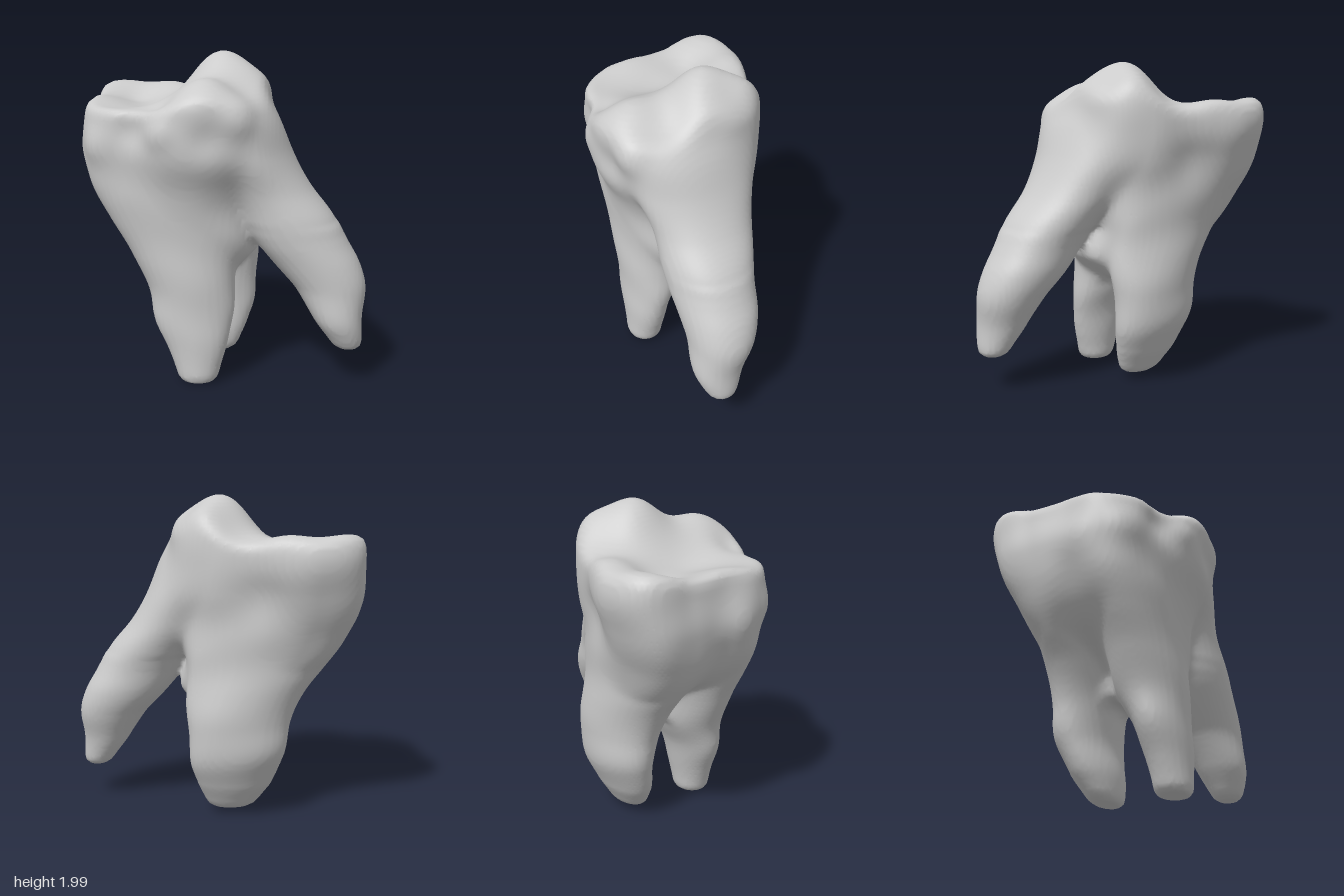
import * as THREE from 'three';

const { exp, sin, hypot, atan2, min, max, floor, abs, PI } = Math;

// Smooth spline through four values
const spline = (a, b, c, d, t) =>
  b + 0.5 * t * (c - a + t * (2 * a - 5 * b + 4 * c - d + t * (3 * (b - c) + d - a)));
const smoothMin = (a, b, k) => min(a, b) - (max(k - abs(a - b), 0) ** 2) / (4 * k);
const smoothMax = (a, b, k) => -smoothMin(-a, -b, k);

// Interpolate a stack of sections [y, ...values] at a height
function sectionAt(rows, y) {
  const n = rows.length - 1;
  const v = min(max(y, rows[0][0]), rows[n][0]);
  let i = 0;
  while (i < n - 1 && v > rows[i + 1][0]) i++;
  const t = (v - rows[i][0]) / (rows[i + 1][0] - rows[i][0]);
  const [a, b, c, d] = [rows[max(i - 1, 0)], rows[i], rows[i + 1], rows[min(i + 2, n)]];
  return [1, 2, 3, 4].map((k) => spline(a[k], b[k], c[k], d[k], t));
}

// Roots: y, centre x, centre z, radius x, radius z
const frontRoot = [
  [0.0, -0.145, 0.36, 0.12, 0.11], [0.2, -0.155, 0.345, 0.175, 0.125],
  [0.4, -0.18, 0.315, 0.24, 0.15], [0.6, -0.2, 0.27, 0.27, 0.195],
  [0.8, -0.23, 0.25, 0.335, 0.215], [1.0, -0.27, 0.24, 0.42, 0.23],
  [1.2, -0.3, 0.21, 0.48, 0.27], [1.4, -0.3, 0.2, 0.48, 0.3],
];
const backRoot = [
  [0.03, -0.085, -0.11, 0.145, 0.09], [0.2, -0.1, -0.16, 0.23, 0.14],
  [0.4, -0.115, -0.215, 0.295, 0.17], [0.6, -0.12, -0.215, 0.32, 0.19],
  [0.8, -0.17, -0.195, 0.37, 0.205], [1.0, -0.25, -0.19, 0.43, 0.21],
  [1.2, -0.3, -0.17, 0.47, 0.25], [1.4, -0.3, -0.16, 0.48, 0.28],
];
const sideRoot = [
  [0.22, 0.765, 0.31, 0.085, 0.09], [0.4, 0.705, 0.3, 0.145, 0.16],
  [0.6, 0.65, 0.255, 0.22, 0.205], [0.75, 0.565, 0.225, 0.27, 0.24],
  [0.9, 0.465, 0.215, 0.285, 0.26], [1.0, 0.4, 0.2, 0.285, 0.28],
  [1.2, 0.265, 0.15, 0.27, 0.32], [1.4, 0.15, 0.13, 0.27, 0.38],
  [1.6, 0.07, 0.12, 0.27, 0.41], [1.8, -0.01, 0.1, 0.26, 0.42],
];

function rootField(rows, x, y, z) {
  const [cx, cz, rx, rz] = sectionAt(rows, y);
  const side = (hypot((x - cx) / rx, (z - cz) / rz) - 1) * min(rx, rz);
  return smoothMax(side, rows[0][0] - y, 0.06);
}

// Crown: radii at equal angles from +x towards +z, scaled by height
const outline = [0.55, 0.54, 0.63, 0.637, 0.58, 0.5, 0.56, 0.565,
  0.53, 0.58, 0.72, 0.64, 0.53, 0.47, 0.53, 0.58];
const crownRows = [
  [0.62, -0.11, 0.02, 0.3, 0.35], [0.8, -0.06, 0.05, 0.5, 0.46],
  [1.0, -0.23, 0.02, 0.75, 0.66], [1.2, -0.29, 0.02, 0.92, 0.8],
  [1.4, -0.3, 0.02, 1.0, 0.94], [1.6, -0.3, 0, 1.0, 1],
  [1.75, -0.3, 0, 0.97, 0.97], [1.9, -0.3, 0, 0.87, 0.83],
];

function crownField(x, y, z) {
  const [cx, cz, sx, sz] = sectionAt(crownRows, y);
  const u = (x - cx) / sx, v = (z - cz) / sz;
  const a = ((atan2(v, u) / (2 * PI) + 1) % 1) * 16;
  const i = floor(a), r = (k) => outline[(i + k + 16) % 16];
  const side = (hypot(u, v) - spline(r(-1), r(0), r(1), r(2), a - i)) * min(sx, sz);
  return smoothMax(side, crownRows[0][0] - y, 0.08);
}

// Cusps and basin of the chewing surface: x, z, height, width
const cusps = [
  [-0.03, -0.03, 0.285, 0.25], [-0.1, 0.4, 0.155, 0.22], [0.2, 0.1, 0.07, 0.17],
  [0.12, -0.27, 0.12, 0.16], [-0.72, -0.46, 0.08, 0.22], [-0.38, -0.46, 0.07, 0.18],
  [-0.8, 0.05, 0.04, 0.2], [-0.47, 0.0, -0.05, 0.22], [-0.36, 0.45, -0.03, 0.1],
  [-0.58, -0.26, -0.04, 0.14],
];
const topHeight = (x, z) => cusps.reduce(
  (h, [cx, cz, a, w]) => h + a * exp(-((x - cx) ** 2 + (z - cz) ** 2) / (w * w)), 1.69);

// Small knobs and dents on the walls: x, y, z, amount, width
const knobs = [
  [-0.35, 1.56, 0.54, 0.035, 0.08], [-0.74, 1.46, 0.36, 0.03, 0.1],
  [0.1, 1.64, 0.52, 0.03, 0.09], [-0.52, 1.56, 0.48, -0.03, 0.1],
  [-0.08, 1.52, 0.6, -0.025, 0.1], [0.05, 1.1, 0.45, -0.015, 0.16],
  [-0.2, 1.4, -0.46, -0.03, 0.14], [0.25, 1.8, -0.06, 0.025, 0.13],
  [-0.84, 1.4, 0.09, 0.035, 0.13],
];

function toothField(x, y, z) {
  let f = crownField(x, y, z);
  for (const rows of [frontRoot, backRoot, sideRoot])
    f = smoothMin(f, rootField(rows, x, y, z), 0.07);
  f = smoothMax(f, (y - topHeight(x, z)) * 0.85, 0.05);
  for (const [kx, ky, kz, a, w] of knobs)
    f -= a * exp(-((x - kx) ** 2 + (y - ky) ** 2 + (z - kz) ** 2) / (w * w));
  const ripple = sin(9 * x + 5 * y + 2) * sin(11 * z + 3 * y) + 0.6 * sin(17 * y + 6 * x - 5 * z);
  return f - 0.005 * ripple * min(1, max(0, y * 3));
}

// Skin the zero level of a field with one vertex per crossed grid cell
function skinField(field, low, high, step) {
  const n = low.map((l, i) => Math.ceil((high[i] - l) / step) + 1);
  const stride = [1, n[0], n[0] * n[1]];
  const values = new Float32Array(n[0] * n[1] * n[2]);
  const eachPoint = (fn) => {
    for (let k = 0, id = 0; k < n[2]; k++)
      for (let j = 0; j < n[1]; j++)
        for (let i = 0; i < n[0]; i++, id++) fn([i, j, k], id);
  };
  eachPoint((p, id) => { values[id] = field(...p.map((c, a) => low[a] + c * step)); });

  const positions = [], index = [], vertexOf = new Map();
  eachPoint((p, id) => {
    if (p.some((c, a) => c >= n[a] - 1)) return;
    const sum = [0, 0, 0];
    let count = 0;
    for (let a = 0; a < 3; a++) {
      const b = (a + 1) % 3, c = (a + 2) % 3;
      for (let m = 0; m < 4; m++) {
        const s = id + (m & 1) * stride[b] + (m >> 1) * stride[c];
        const v0 = values[s], v1 = values[s + stride[a]];
        if (v0 < 0 === v1 < 0) continue;
        sum[a] += v0 / (v0 - v1);
        sum[b] += m & 1;
        sum[c] += m >> 1;
        count++;
      }
    }
    if (!count) return;
    vertexOf.set(id, positions.length / 3);
    for (let a = 0; a < 3; a++) positions.push(low[a] + (p[a] + sum[a] / count) * step);
  });
  eachPoint((p, id) => {
    for (let a = 0; a < 3; a++) {
      const sb = stride[(a + 1) % 3], sc = stride[(a + 2) % 3];
      if (p[a] >= n[a] - 1 || values[id] < 0 === values[id + stride[a]] < 0) continue;
      const q = [id - sb - sc, id - sc, id, id - sb].map((c) => vertexOf.get(c));
      if (q.includes(undefined)) continue;
      if (values[id] >= 0) q.reverse();
      index.push(q[0], q[1], q[2], q[0], q[2], q[3]);
    }
  });
  const geometry = new THREE.BufferGeometry();
  geometry.setAttribute('position', new THREE.Float32BufferAttribute(positions, 3));
  geometry.setIndex(index);
  geometry.computeVertexNormals();
  return geometry;
}

export function createModel() {
  const group = new THREE.Group();
  group.name = 'molarTooth';
  const geometry = skinField(toothField, [-1, -0.1, -0.75], [1, 2.15, 0.75], 0.023);
  const tooth = new THREE.Mesh(geometry, new THREE.MeshStandardMaterial({ color: 0xcccccc }));
  tooth.name = 'crownAndRoots';
  group.add(tooth);
  return group;
}
